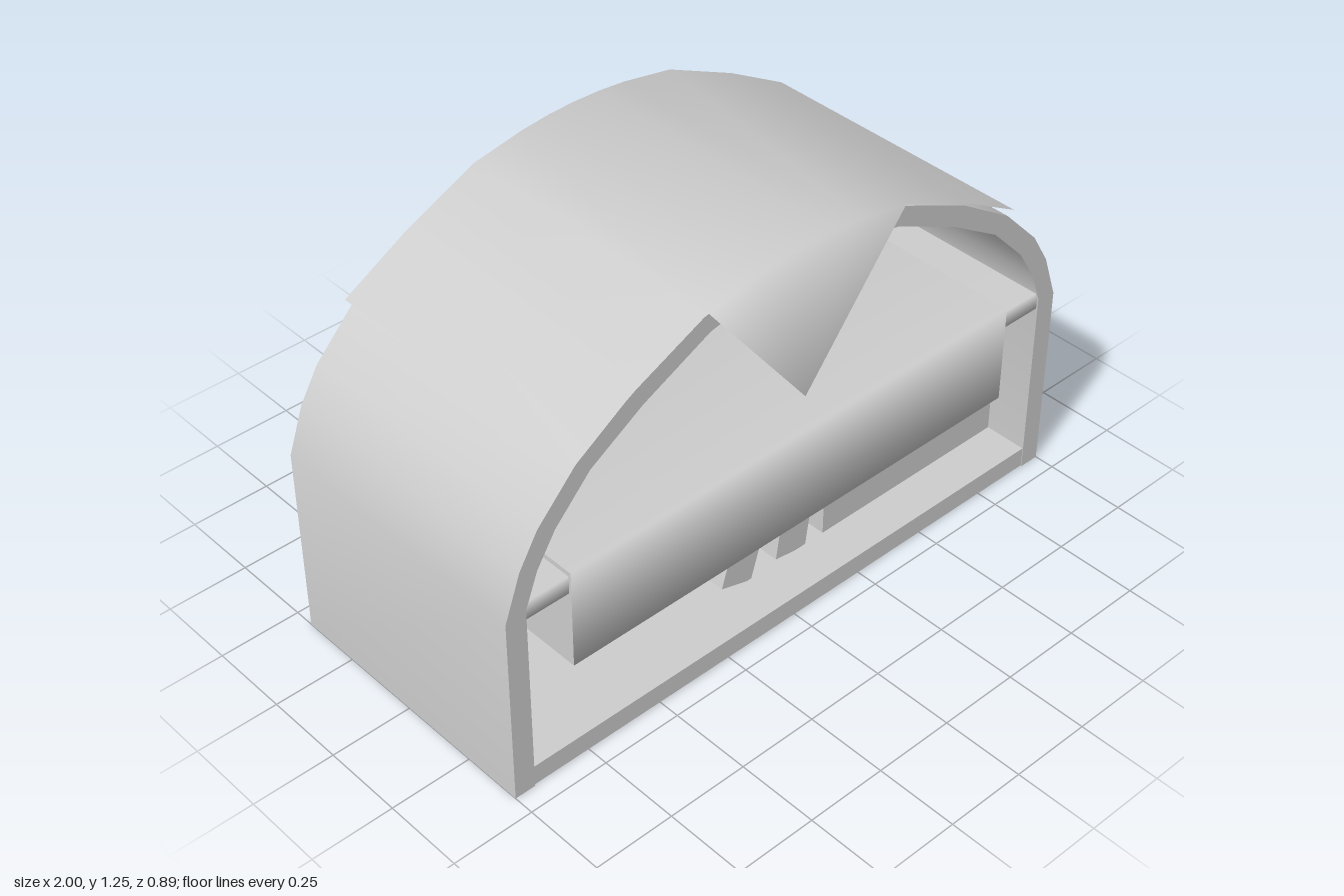
import * as THREE from 'three';
import { toCreasedNormals } from 'three/addons/utils/BufferGeometryUtils.js';

const grey = new THREE.MeshStandardMaterial({ color: 0xcccccc, side: THREE.DoubleSide });
grey.name = 'plainGrey';

// Half outlines, from the wall foot to the crown
const outer = [[1, 0], [1, 0.6], [0.95, 0.74], [0.89, 0.84], [0.765, 0.97], [0.58, 1.09],
  [0.35, 1.194], [0.18, 1.23], [0, 1.244]];
const inner = [[0.935, 0], [0.935, 0.61], [0.895, 0.715], [0.835, 0.81], [0.72, 0.93],
  [0.55, 1.035], [0.33, 1.14], [0.17, 1.175], [0, 1.188]];
const roofHalf = [[0.78, 0.987], [0.58, 1.1], [0.345, 1.208], [0.18, 1.238], [0.09, 1.247], [0, 1.25]];

// Full left-to-right outline from a half one
const mirror = (half) => [...half.map(([x, y]) => [-x, y]), ...half.slice(0, -1).reverse()];

function add(group, name, geometry, x = 0, y = 0, z = 0) {
  const mesh = new THREE.Mesh(geometry, grey);
  mesh.name = name;
  mesh.position.set(x, y, z);
  group.add(mesh);
  return mesh;
}

// Box given by its limits
function block(group, name, [x0, x1], [y0, y1], [z0, z1]) {
  return add(group, name, new THREE.BoxGeometry(x1 - x0, y1 - y0, z1 - z0),
    (x0 + x1) / 2, (y0 + y1) / 2, (z0 + z1) / 2);
}

// Bar along x with softly shaded long edges
function bar(group, name, width, [y0, y1], [z0, z1]) {
  const g = new THREE.CylinderGeometry(Math.SQRT1_2, Math.SQRT1_2, 1, 4, 1, false, Math.PI / 4);
  g.rotateZ(Math.PI / 2).scale(width, y1 - y0, z1 - z0);
  return add(group, name, g, 0, (y0 + y1) / 2, (z0 + z1) / 2);
}

function extrude(points, depth) {
  const shape = new THREE.Shape(points.map(([x, y]) => new THREE.Vector2(x, y)));
  const g = new THREE.ExtrudeGeometry(shape, { depth, bevelEnabled: false });
  return toCreasedNormals(g, 0.6);
}

// Thin roof cover with a triangular flap hanging at each end
function roofCover() {
  const pts = mirror(roofHalf), n = pts.length, pos = [], index = [];
  for (const z of [0.445, -0.445]) pts.forEach(([x, y]) => pos.push(x, y, z));
  pos.push(0, 0.77, 0.445, 0, 0.77, -0.445);
  for (let i = 0; i < n - 1; i++) {
    index.push(i, i + 1, n + i + 1, i, n + i + 1, n + i);
    if (i >= 2 && i < n - 3) index.push(2 * n, i + 1, i, 2 * n + 1, n + i, n + i + 1);
  }
  const g = new THREE.BufferGeometry();
  g.setAttribute('position', new THREE.Float32BufferAttribute(pos, 3));
  g.setIndex(index);
  g.computeVertexNormals();
  return g;
}

export function createModel() {
  const model = new THREE.Group();
  model.name = 'archedShelf';

  // Arched shell, back and roof cover
  add(model, 'archedShell', extrude([...mirror(outer), ...mirror(inner).reverse()], 0.874), 0, 0, -0.437);
  add(model, 'backPanel', extrude(mirror(inner), 0.02), 0, 0, -0.437);
  add(model, 'roofCover', roofCover());

  // Floor sheet with front lip, open underneath
  block(model, 'floor', [-0.935, 0.935], [0.063, 0.067], [-0.42, 0.435]);
  block(model, 'floorLip', [-0.935, 0.935], [0.003, 0.067], [0.43, 0.435]);

  // Shelf and the wide case resting through it
  bar(model, 'shelf', 1.87, [0.575, 0.63], [-0.42, 0.432]);
  bar(model, 'wideCase', 1.59, [0.335, 0.645], [-0.4, 0.44]);

  // Lower right cupboard
  block(model, 'cupboard', [0.24, 0.935], [0.067, 0.4], [-0.42, 0.3]);

  // Leaning books: lowest corner x, tilt
  for (const [x, tilt] of [[-0.04, 0.29], [0.17, 0.14]]) {
    const g = new THREE.BoxGeometry(0.115, 0.32, 0.42).translate(-0.0575, 0.16, 0);
    add(model, 'leaningBook', g, x, 0.062, 0.09).rotation.z = -tilt;
  }
  return model;
}
